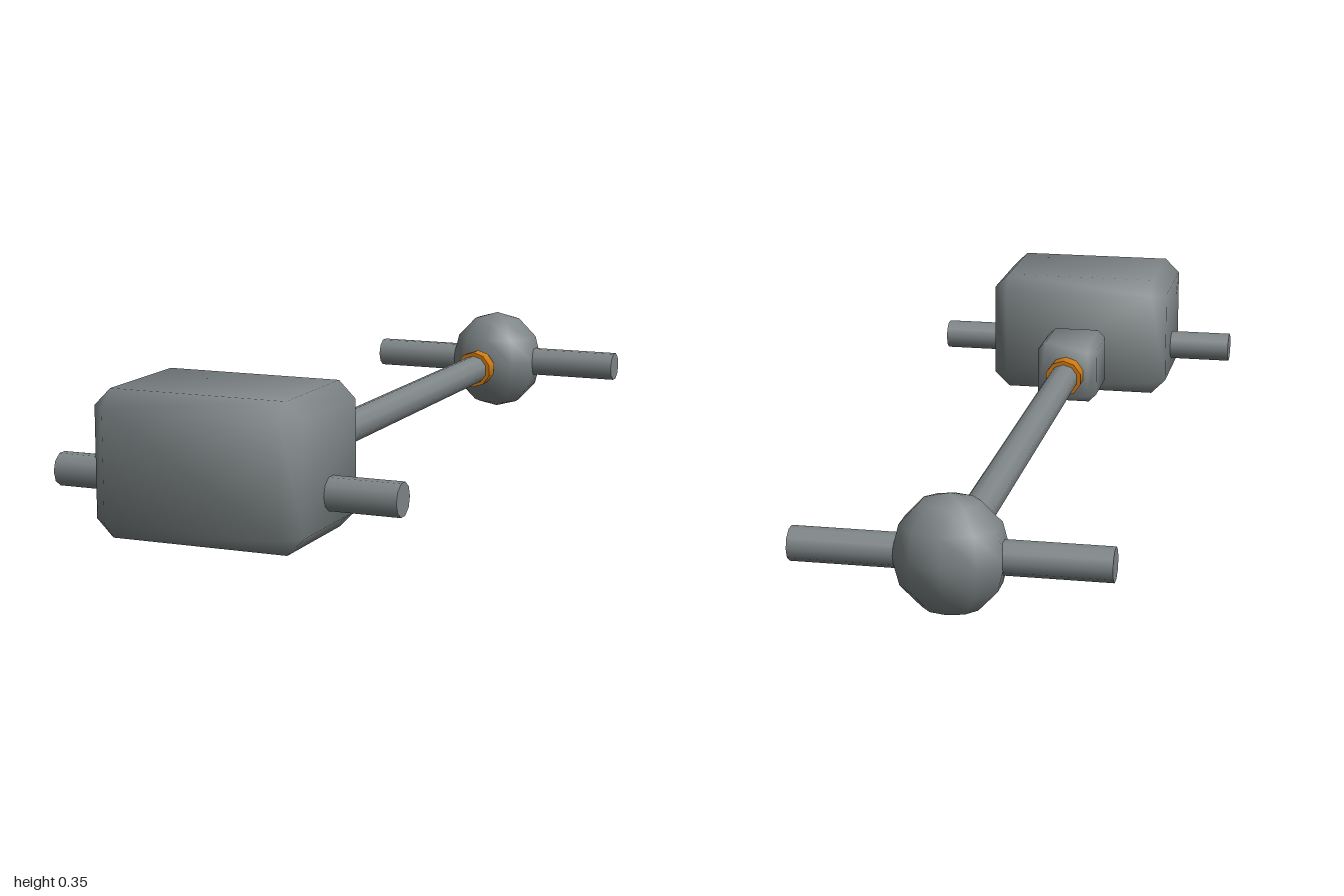
import * as THREE from 'three';
import { ConvexGeometry } from 'three/addons/geometries/ConvexGeometry.js';

const SIDES = 10;
const AXIS_Y = 0.133; // height of the shaft and both axles

// Box with single-step chamfers and softened normals
function chamferedBox(w, h, d, c) {
  const half = [w / 2, h / 2, d / 2];
  const points = [];
  for (const sx of [-1, 1]) for (const sy of [-1, 1]) for (const sz of [-1, 1]) {
    const s = [sx, sy, sz];
    for (let axis = 0; axis < 3; axis++) {
      points.push(new THREE.Vector3(...s.map((v, i) => v * (half[i] - (i === axis ? 0 : c)))));
    }
  }
  const geo = new ConvexGeometry(points);
  const pos = geo.attributes.position;
  const n = new THREE.Vector3();
  for (let i = 0; i < pos.count; i++) {
    // each corner leans mostly to its own face, a little to the two neighbours
    const p = [pos.getX(i), pos.getY(i), pos.getZ(i)];
    n.set(...p.map((v, k) => Math.sign(v) * (Math.abs(v) > half[k] - c / 2 ? 2.8 : 1.09))).normalize();
    geo.attributes.normal.setXYZ(i, n.x, n.y, n.z);
  }
  return geo;
}

export function createModel() {
  const group = new THREE.Group();
  const steel = new THREE.MeshStandardMaterial({ color: 0x7f8688 });
  steel.name = 'steel grey';
  const orange = new THREE.MeshStandardMaterial({ color: 0xcf7a14 });
  orange.name = 'collar orange';

  const add = (name, geo, mat, x, y, z) => {
    const mesh = new THREE.Mesh(geo, mat);
    mesh.name = name;
    mesh.position.set(x, y, z);
    group.add(mesh);
  };
  // Rod running front to back between two z values
  const rodZ = (name, r, z0, z1, mat) => add(name,
    new THREE.CylinderGeometry(r, r, z1 - z0, SIDES).rotateX(Math.PI / 2), mat, 0, AXIS_Y, (z0 + z1) / 2);
  // Axle running side to side
  const axle = (name, halfLength, z) => add(name,
    new THREE.CylinderGeometry(0.0375, 0.0375, halfLength * 2, SIDES).rotateZ(Math.PI / 2), steel, 0, AXIS_Y, z);

  // Engine and gearbox
  add('engineBlock', chamferedBox(0.474, 0.317, 0.343, 0.038), steel, 0, 0.187, 0.8285);
  add('gearbox', chamferedBox(0.157, 0.158, 0.188, 0.02), steel, 0, 0.135, 0.565);

  // Drive shaft with a collar near each end
  rodZ('driveShaft', 0.038, -0.765, 0.48, steel);
  rodZ('frontCollar', 0.048, 0.43, 0.474, orange);
  rodZ('rearCollar', 0.048, -0.736, -0.696, orange);

  // Axles and rear differential
  axle('frontAxle', 0.397, 0.827);
  axle('rearAxle', 0.343, -0.895);
  const ball = new THREE.SphereGeometry(1, SIDES, 6).rotateY(Math.PI / 2).scale(0.126, 0.133, 0.105);
  add('differential', ball, steel, 0, AXIS_Y, -0.895);

  return group;
}
